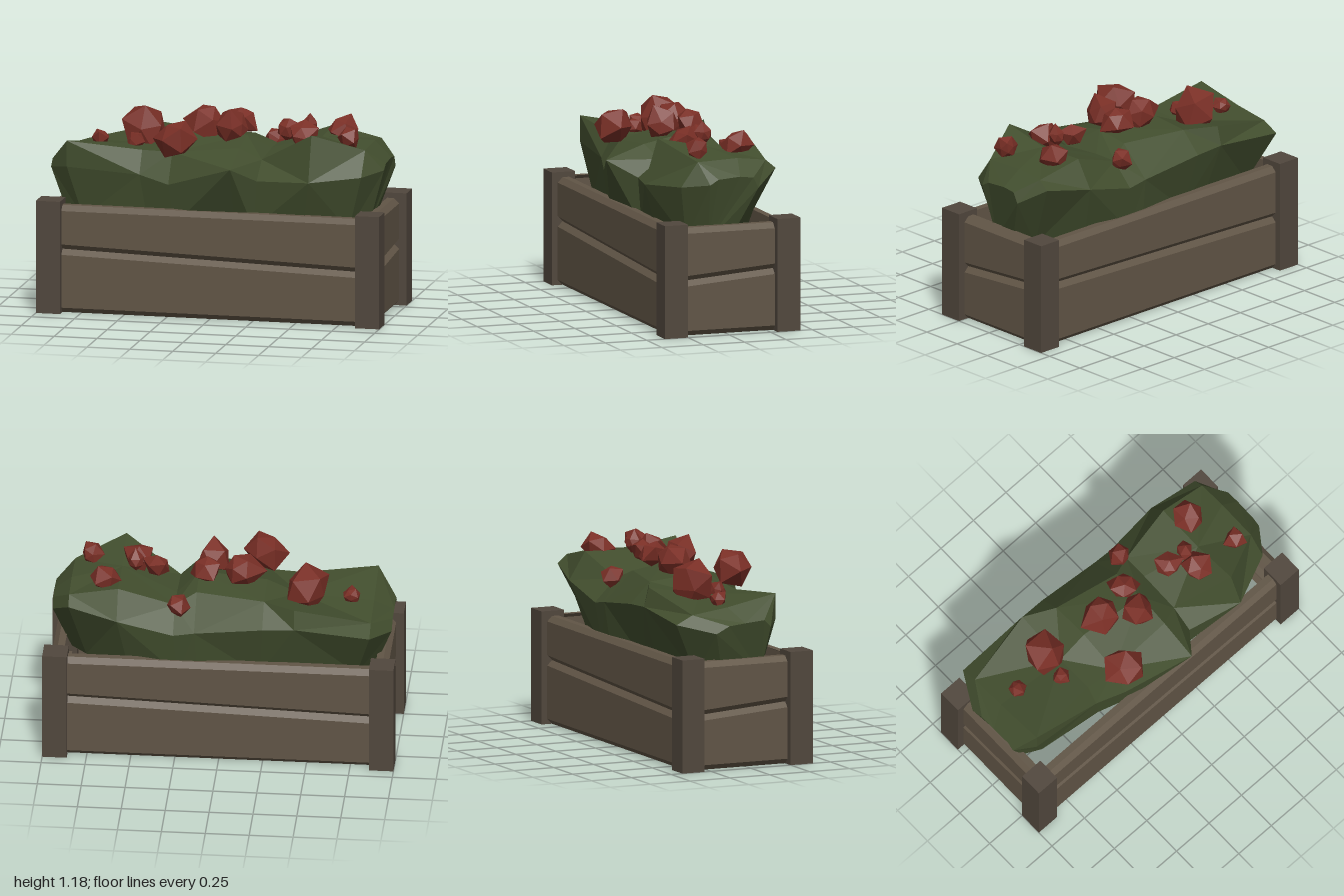
import * as THREE from 'three';

const mat = (color, side = THREE.FrontSide) => new THREE.MeshStandardMaterial({ color, side, flatShading: true });
const postMat = mat(0x51473d, THREE.DoubleSide), plankMat = mat(0x615546, THREE.DoubleSide);
const leafMat = mat(0x424e2e), flowerMat = mat(0x7a2f26);
const ZC = -0.02; // centre of the crate in z

function add(parent, name, geometry, material) {
  const mesh = new THREE.Mesh(geometry, material);
  mesh.name = name;
  parent.add(mesh);
  return mesh;
}

// Corner post, open underneath
function postGeometry() {
  const g = new THREE.BoxGeometry(0.14, 0.65, 0.14);
  g.setIndex([...g.index.array].filter((_, i) => i < 18 || i > 23));
  return g;
}

// Plank shell, open at the back: chamfer, slanted face, chamfer, flat top edge,
// and a flat bottom edge where asked. The outer surface lies at local z = 0.
function plankGeometry(half, bottomL, bottomR, topL, topR, bottomEdge) {
  const c = 0.03, pts = [];
  const profile = (x, bottom, top) => [
    [bottom - c, -0.07], [bottom - c, -c], [bottom, 0], [top, 0], [top + c, -c], [top + c, -0.07],
  ].slice(bottomEdge ? 0 : 1).map(([y, z]) => new THREE.Vector3(x, y, z));
  const l = profile(-half, bottomL, topL), r = profile(half, bottomR, topR);
  for (let i = 0; i < l.length - 1; i++) pts.push(l[i], r[i], r[i + 1], l[i], r[i + 1], l[i + 1]);
  const g = new THREE.BufferGeometry().setFromPoints(pts);
  g.computeVertexNormals();
  return g;
}

// One wall of two planks meeting along a slanted groove
function wall(name, half, lowL, lowR, angle, distance) {
  const g = new THREE.Group();
  g.name = name;
  add(g, 'lowerPlank', plankGeometry(half, 0.03, 0.03, lowL, lowR, false), plankMat);
  add(g, 'upperPlank', plankGeometry(half, lowL + 0.06, lowR + 0.06, 0.59, 0.59, true), plankMat);
  g.rotation.y = angle;
  g.position.set(Math.sin(angle) * distance, 0, ZC + Math.cos(angle) * distance);
  return g;
}

// Bush sections: x, then (z, y) for front belly, front top, middle, back top, back belly,
// then the z of the front and back foot
const sections = [
  [-0.97, 0.14, 0.80, 0.10, 0.84, -0.02, 0.83, -0.12, 0.82, -0.20, 0.78, 0.12, -0.12],
  [-0.86, 0.22, 0.82, 0.22, 0.97, -0.08, 0.91, -0.30, 0.88, -0.40, 0.83, 0.17, -0.24],
  [-0.43, 0.25, 0.80, 0.18, 0.93, -0.05, 0.92, -0.37, 0.98, -0.40, 0.87, 0.22, -0.29],
  [-0.25, 0.30, 0.76, 0.20, 0.93, -0.05, 1.00, -0.28, 0.98, -0.40, 0.86, 0.27, -0.30],
  [0.14, 0.43, 0.89, 0.20, 0.97, 0.00, 1.01, -0.20, 0.98, -0.38, 0.81, 0.25, -0.34],
  [0.26, 0.28, 0.80, 0.15, 0.90, -0.10, 0.92, -0.25, 0.92, -0.38, 0.79, 0.25, -0.34],
  [0.58, 0.36, 0.82, 0.28, 1.08, 0.00, 1.02, -0.29, 1.03, -0.39, 0.87, 0.26, -0.28],
  [0.86, 0.24, 0.84, 0.14, 0.98, -0.10, 0.99, -0.27, 0.97, -0.33, 0.92, 0.18, -0.14],
  [0.96, 0.10, 0.86, 0.05, 0.89, -0.08, 0.90, -0.16, 0.89, -0.19, 0.83, 0.08, -0.05],
];

function bushGeometry() {
  const rings = sections.map(([x, ...p]) => {
    const bx = x * 0.9, y = 0.52;
    const ring = [new THREE.Vector3(bx, y, p[10])];
    for (let k = 0; k < 10; k += 2) ring.push(new THREE.Vector3(x, p[k + 1], p[k]));
    ring.push(new THREE.Vector3(bx, y, p[11]));
    return ring;
  });
  const pts = [];
  const n = rings[0].length, last = rings.length - 1;
  for (let i = 0; i < last; i++) {
    for (let j = 0; j < n; j++) {
      const k = (j + 1) % n;
      const a = rings[i][j], b = rings[i + 1][j], c = rings[i + 1][k], d = rings[i][k];
      // alternate the diagonals for an irregular faceted look
      if ((i + j) % 2) pts.push(a, b, c, a, c, d);
      else pts.push(a, b, d, b, c, d);
    }
  }
  for (let j = 1; j < n - 1; j++) {
    pts.push(rings[0][0], rings[0][j], rings[0][j + 1]);
    pts.push(rings[last][0], rings[last][j + 1], rings[last][j]);
  }
  const g = new THREE.BufferGeometry().setFromPoints(pts);
  g.computeVertexNormals();
  return g;
}

// Jagged blossom: an icosahedron with each corner pushed in or out by a rule
function blossomGeometry(r, seed) {
  const g = new THREE.IcosahedronGeometry(r, 0);
  const pos = g.attributes.position, v = new THREE.Vector3();
  for (let i = 0; i < pos.count; i++) {
    v.fromBufferAttribute(pos, i);
    const s = Math.sin((v.x * 37 + v.y * 71 + v.z * 113) / r + seed * 5);
    v.multiplyScalar(0.95 + 0.32 * s);
    pos.setXYZ(i, v.x, v.y, v.z);
  }
  g.computeVertexNormals();
  return g;
}

// Blossoms: x, y, z, radius
const blossoms = [
  [-0.73, 0.94, -0.09, 0.055], [-0.49, 0.99, -0.12, 0.12], [-0.51, 0.95, 0.03, 0.05],
  [-0.10, 1.07, -0.07, 0.135], [0.09, 1.08, -0.09, 0.11], [0.08, 1.06, 0.07, 0.10],
  [-0.22, 1.02, 0.25, 0.105], [0.25, 0.93, -0.28, 0.065], [0.37, 1.04, -0.02, 0.09],
  [0.50, 1.07, -0.03, 0.07], [0.48, 1.04, 0.10, 0.09], [0.66, 1.03, -0.17, 0.08],
  [0.77, 1.04, 0.10, 0.065],
];

export function createModel() {
  const model = new THREE.Group();
  model.name = 'flowerPlanter';

  // Corner posts
  for (const sx of [-1, 1]) {
    for (const sz of [-1, 1]) {
      const post = add(model, 'cornerPost', postGeometry(), postMat);
      post.position.set(sx * 0.93, 0.325, ZC + sz * 0.34);
    }
  }

  // Plank walls, open underneath
  model.add(wall('frontWall', 0.88, 0.337, 0.283, 0, 0.375));
  model.add(wall('backWall', 0.88, 0.337, 0.283, Math.PI, 0.375));
  model.add(wall('leftWall', 0.29, 0.284, 0.328, Math.PI / 2, 0.957));
  model.add(wall('rightWall', 0.29, 0.284, 0.328, -Math.PI / 2, 0.957));

  // Foliage and flowers
  add(model, 'bush', bushGeometry(), leafMat);
  blossoms.forEach(([x, y, z, r], i) => {
    const b = add(model, 'blossom', blossomGeometry(r, i), flowerMat);
    b.position.set(x, y, z);
    b.rotation.set(i * 1.3, i * 2.1, i * 0.7);
  });
  return model;
}
